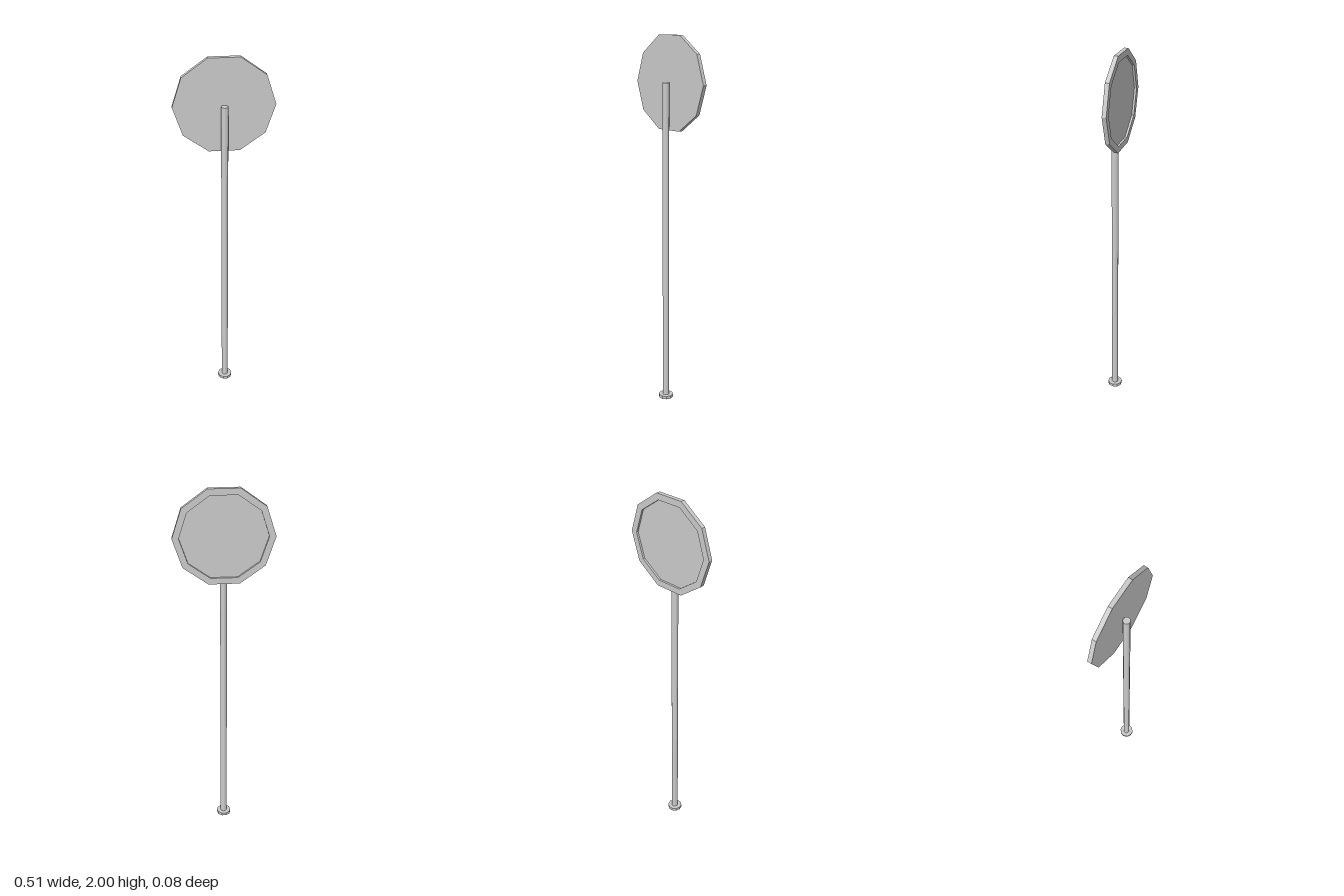
import * as THREE from 'three';

const material = new THREE.MeshStandardMaterial({ color: 0xcccccc, flatShading: true });

// Ten-sided plate with a raised rim and a recess on its underside
function dish(name, radius, rim, height, recess) {
  const profile = [
    [0, recess], [radius - rim, recess], [radius - rim, 0],
    [radius, 0], [radius, height], [0, height],
  ].map(([r, y]) => new THREE.Vector2(r, y));
  const mesh = new THREE.Mesh(new THREE.LatheGeometry(profile, 10, Math.PI / 2), material);
  mesh.name = name;
  return mesh;
}

export function createModel() {
  const group = new THREE.Group();
  group.name = 'roadSign';

  // Foot, hollow underneath
  const base = dish('base', 0.04, 0.009, 0.017, 0.01);

  // Upright pole, ending at the middle of the sign
  const bottom = 0.004, top = 1.763;
  const pole = new THREE.Mesh(
    new THREE.CylinderGeometry(0.0178, 0.0178, top - bottom, 12), material);
  pole.name = 'pole';
  pole.position.y = (top + bottom) / 2;

  // Sign plate behind the pole, its rimmed side facing back
  const plate = dish('signPlate', 0.254, 0.034, 0.022, 0.011);
  plate.rotation.x = Math.PI / 2;
  plate.position.set(0, 1.759, -0.042);

  group.add(base, pole, plate);
  return group;
}
